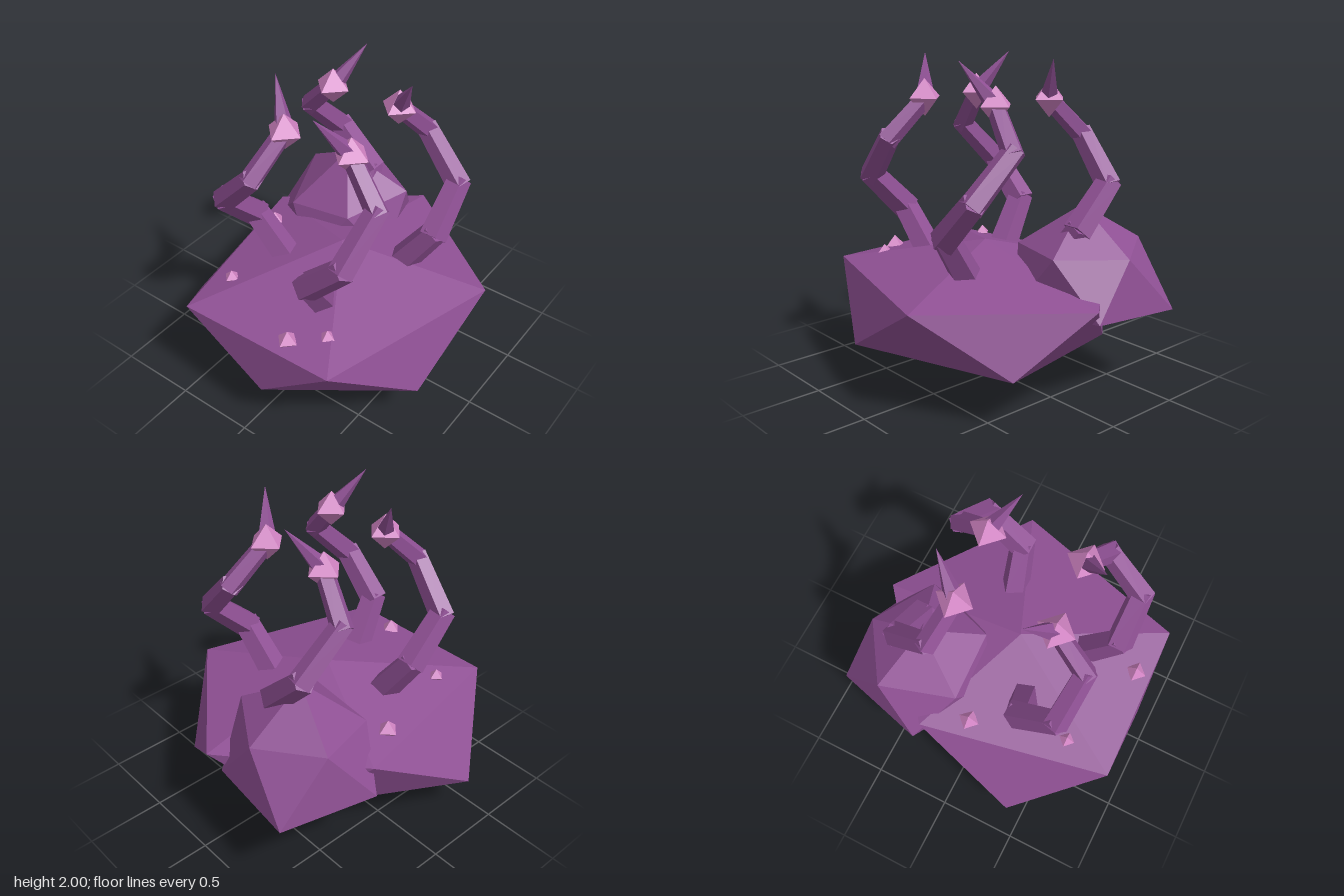
import * as THREE from 'three';

const rock = new THREE.MeshStandardMaterial({ color: 0x8f5094 });
rock.name = 'purple stone';
const crystal = new THREE.MeshStandardMaterial({ color: 0xd284c4 });
crystal.name = 'pink crystal';

const V = (p) => new THREE.Vector3(...p);

function addMesh(parent, name, geometry, material) {
  const flat = geometry.index ? geometry.toNonIndexed() : geometry;
  flat.computeVertexNormals(); // faceted look
  const mesh = new THREE.Mesh(flat, material);
  mesh.name = name;
  parent.add(mesh);
  return mesh;
}

// Twenty-sided boulder: a peak, two staggered rings of five and a bottom point
function boulder(peak, upper, lower, bottom) {
  const pts = [];
  for (let i = 0; i < 5; i++) {
    const j = (i + 1) % 5;
    pts.push(peak, upper[i], upper[j]);
    pts.push(upper[i], lower[i], upper[j]);
    pts.push(lower[i], lower[j], upper[j]);
    pts.push(bottom, lower[j], lower[i]);
  }
  return new THREE.BufferGeometry().setFromPoints(pts.map(V));
}

// Tapered prism running from a to b
function strut(parent, name, a, b, r0, r1, sides, material) {
  const dir = b.clone().sub(a);
  const mesh = addMesh(parent, name, new THREE.CylinderGeometry(r1, r0, dir.length(), sides), material);
  mesh.position.copy(a).addScaledVector(dir, 0.5);
  mesh.quaternion.setFromUnitVectors(new THREE.Vector3(0, 1, 0), dir.normalize());
  return mesh;
}

// Curling arm, with its origin at the crystal on its end
function arm() {
  const g = new THREE.Group();
  const nodes = [
    [-0.15, -0.98, -0.10], [-0.32, -0.73, -0.06], [-0.32, -0.49, 0.18],
    [-0.07, -0.23, 0.22], [0, 0, 0],
  ].map(V);
  const radii = [0.095, 0.09, 0.078, 0.066];
  radii.forEach((r, i) => {
    const over = nodes[i + 1].clone().sub(nodes[i]).normalize().multiplyScalar(0.025);
    strut(g, 'armSegment', nodes[i].clone().sub(over), nodes[i + 1].clone().add(over), r, r * 0.85, 5, rock);
  });
  addMesh(g, 'tipCrystal', new THREE.OctahedronGeometry(0.113), crystal);
  const end = V([-0.16, 0.25, -0.13]);
  strut(g, 'spike', end.clone().multiplyScalar(0.12), end, 0.055, 0, 5, rock);
  return g;
}

export function createModel() {
  const model = new THREE.Group();
  model.name = 'rockWithArms';

  // Main rock
  addMesh(model, 'mainRock', boulder(
    [-0.05, 0.88, 0.04],
    [[-0.88, 0.68, 0.55], [0.28, 0.68, 0.88], [0.90, 0.66, 0.04], [0.28, 0.68, -0.72], [-0.91, 0.68, -0.48]],
    [[-0.35, 0.30, 0.82], [0.70, 0.31, 0.49], [0.56, 0.32, -0.38], [-0.41, 0.26, -0.88], [-0.91, 0.32, 0.08]],
    [-0.05, 0, 0.05]), rock);

  // Smaller rock lodged in the back corner
  addMesh(model, 'sideRock', boulder(
    [0.45, 1.14, -0.29],
    [[0.59, 0.90, 0.09], [0.83, 0.88, -0.29], [0.58, 0.90, -0.66], [0.13, 0.82, -0.50], [0.14, 0.88, -0.06]],
    [[0.85, 0.55, -0.03], [0.90, 0.52, -0.62], [0.31, 0.53, -0.78], [0.02, 0.52, -0.29], [0.31, 0.55, 0.12]],
    [0.45, 0.42, -0.40]), rock);

  // Four arms, each turned a quarter from the last
  const tips = [[-0.31, 0.29], [0.25, 0.22], [0.22, -0.23], [-0.34, -0.14]];
  tips.forEach(([x, z], i) => {
    const a = arm();
    a.name = 'arm' + (i + 1);
    a.position.set(x, 1.75, z);
    a.rotation.y = i * Math.PI / 2;
    model.add(a);
  });

  // Small crystals on the surface
  const gems = [[-0.79, 0.71, 0.20, 0.067], [0.01, 0.72, -0.56, 0.067], [-0.59, 0.73, -0.40, 0.05], [-0.65, 0.73, 0.38, 0.05]];
  for (const [x, y, z, r] of gems) {
    addMesh(model, 'smallCrystal', new THREE.OctahedronGeometry(r), crystal).position.set(x, y, z);
  }
  return model;
}
